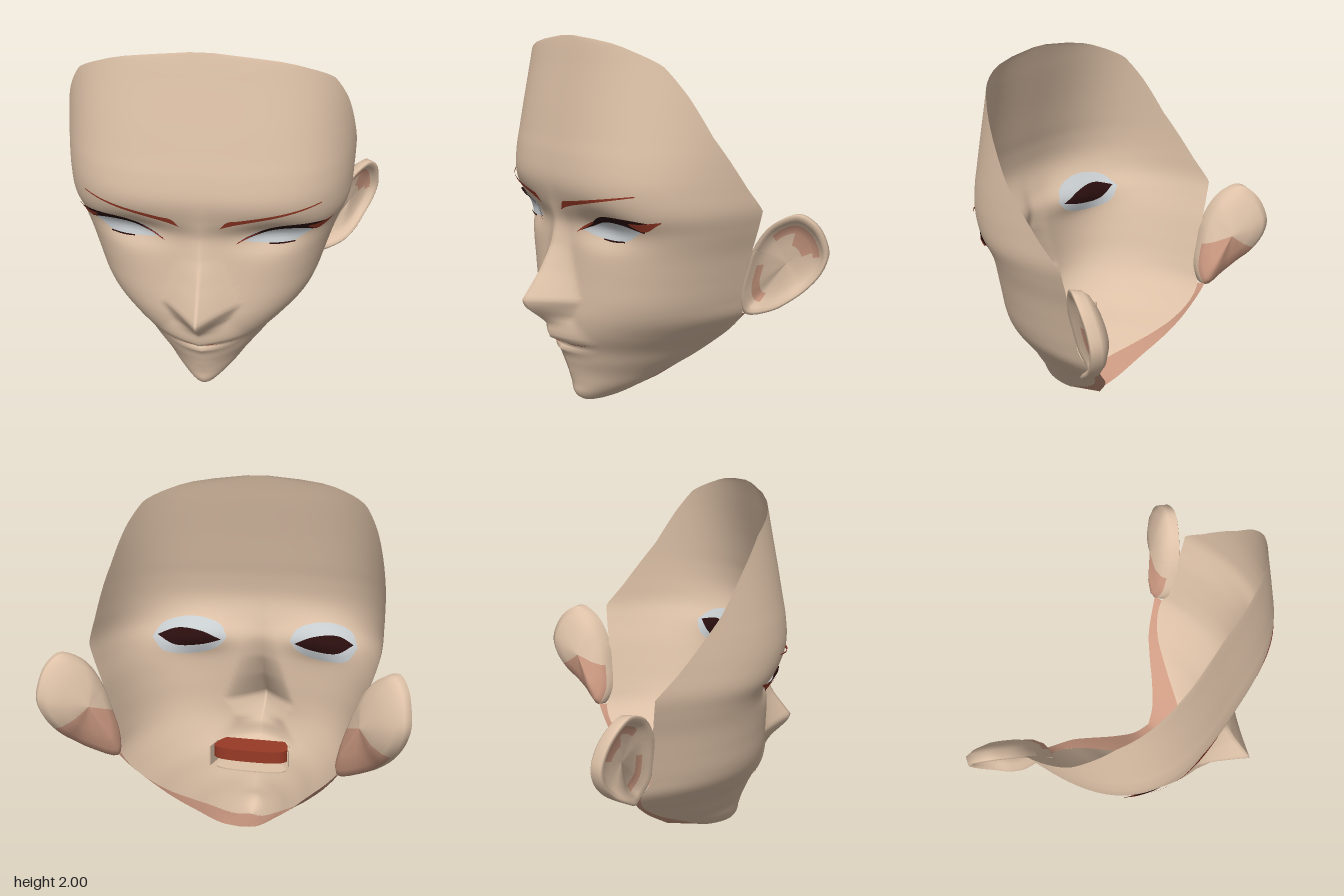
import * as THREE from 'three';

const mat = (name, color) => new THREE.MeshStandardMaterial({ name, color, side: THREE.DoubleSide });
const skin = mat('skin', 0xdec2a8);
const blush = mat('shaded skin', 0xcd9a82);
const red = mat('red brown', 0x983a26);
const dark = mat('dark lash', 0x2a0e0e);
const white = mat('eye white', 0xcacfd2);

// Head sections: height, half width, front z, back z, roundness
const sections = [
  [0, .01, .23, .22, 2], [.02, .06, .285, .16, 2], [.06, .125, .325, .1, 1.8], [.12, .2, .335, .03, 1.8],
  [.2, .28, .345, -.08, 1.9], [.28, .36, .37, -.185, 2], [.36, .43, .39, -.27, 2.1], [.46, .52, .425, -.335, 2.25],
  [.56, .595, .435, -.35, 2.4], [.65, .625, .43, -.31, 2.55], [.8, .665, .42, -.31, 2.7],
  [.93, .7, .415, -.31, 2.8], [1.05, .74, .42, -.31, 2.9], [1.15, .768, .455, -.31, 3],
  [1.27, .775, .485, -.315, 3], [1.4, .777, .475, -.325, 3], [1.5, .777, .455, -.345, 3],
  [1.65, .775, .425, -.375, 3], [1.72, .775, .41, -.39, 3], [1.86, .775, .38, -.42, 3],
  [1.925, .775, .367, -.433, 3], [1.98, .775, .355, -.445, 3], [2, .775, .35, -.45, 3]];
// Nose and lips: height, bulge, half width
const bulges = [
  [0, 0, .1], [.12, 0, .12], [.2, .015, .15], [.3, .015, .18], [.35, .04, .22], [.38, 0, .22], [.4, .045, .25],
  [.42, .07, .25], [.5, .065, .18], [.54, .105, .14], [.61, .19, .18], [.65, .215, .21], [.8, .115, .16],
  [.93, .05, .12], [1.05, .02, .1], [1.15, .005, .08], [1.25, 0, .08], [2, 0, .08]];
// Cut edge of the forehead: height, z
const rim = [[0, -1], [1.14, -1], [1.15, -.31], [1.27, -.2], [1.53, .005], [1.72, .115], [1.86, .205],
  [1.925, .289], [1.98, .346], [2, .3499]];

const table = (rows, Type) => {
  const size = rows[0].length - 1;
  const it = new Type(rows.map(r => r[0]), rows.flatMap(r => r.slice(1)), size, new Float32Array(size));
  return y => Array.from(it.evaluate(y));
};
const sectionAt = table(sections, THREE.CubicInterpolant);
const bulgeAt = table(bulges, THREE.LinearInterpolant);
const rimAt = table(rim, THREE.LinearInterpolant);

// Nose and lips added, eye sockets taken away
function relief(x, y) {
  const [b, w] = bulgeAt(y), ax = Math.abs(x);
  const socket = .055 * Math.exp(-(((ax - .36) / .18) ** 2) - ((y - 1.06) / .09) ** 2);
  return b * Math.pow(Math.max(0, 1 - ax / w), 1.25) - socket;
}

// Depth of the face surface at any x, y
function faceZ(x, y) {
  const [A, zF, zB, n] = sectionAt(y);
  const f = Math.pow(Math.max(0, 1 - Math.pow(Math.min(1, Math.abs(x) / A), n)), 1 / n);
  return zB + (zF - zB) * f + relief(x, y);
}

// Smooth sheet from a rule over u, v; pick chooses the material of each quad
function sheet(name, nu, nv, point, materials, pick = () => 0) {
  const pos = [], lists = [[], []];
  for (let j = 0; j <= nv; j++) for (let i = 0; i <= nu; i++) pos.push(...point(i / nu, j / nv));
  for (let j = 0; j < nv; j++) for (let i = 0; i < nu; i++) {
    const a = j * (nu + 1) + i, b = a + nu + 1;
    lists[pick((i + .5) / nu, j)].push(a, a + 1, b + 1, a, b + 1, b);
  }
  const g = new THREE.BufferGeometry();
  g.setAttribute('position', new THREE.Float32BufferAttribute(pos, 3));
  g.setIndex([...lists[0], ...lists[1]]);
  g.addGroup(0, lists[0].length, 0);
  if (lists[1].length) g.addGroup(lists[0].length, lists[1].length, 1);
  g.computeVertexNormals();
  const m = new THREE.Mesh(g, materials);
  m.name = name;
  return m;
}

const curve = pts => new THREE.CatmullRomCurve3(pts.map(p => new THREE.Vector3(p[0], p[1], p[2] || 0)));

// Thin plate following the face between an upper and a lower line
function plate(name, top, bottom, offset, material, side) {
  const t = curve(top), b = curve(bottom);
  return sheet(name, 28, 5, (u, v) => {
    const p = t.getPoint(u).lerp(b.getPoint(u), v);
    return [side * p.x, p.y, faceZ(p.x, p.y) + offset];
  }, [material]);
}

// Cupped ear: rings of the outline (scale, push along the ear normal, shift to the head)
const earOutline = curve([[.71, .94, -.305], [.765, 1.05, -.345], [.82, 1.105, -.39], [.88, 1.13, -.45],
  [.925, 1.08, -.52], [.945, 1, -.57], [.95, .91, -.595], [.925, .82, -.58], [.875, .73, -.53], [.82, .66, -.46],
  [.75, .605, -.41], [.61, .56, -.36], [.615, .65, -.31], [.66, .8, -.3]]);
earOutline.closed = true;
const earCenter = new THREE.Vector3(.8, .86, -.445);
const earNormal = new THREE.Vector3(.54, -.02, .84);
const earRings = [[0, -.075, .06], [.55, -.075, .045], [.85, -.065, .02], [.98, -.05, 0], [1, 0, 0], [.94, .006, 0],
  [.86, -.005, 0], [.77, -.03, 0], [.6, -.04, 0], [.35, -.04, 0], [0, -.035, 0]];
function ear(side) {
  const last = earRings.length - 1;
  return sheet('ear', 56, last, (u, v) => {
    const [s, d, shift] = earRings[Math.round(v * last)];
    const p = earOutline.getPoint(u % 1).sub(earCenter).multiplyScalar(s).add(earCenter).addScaledVector(earNormal, d);
    return [side * (p.x - shift), p.y, p.z];
  }, [skin, blush], (u, j) => {
    if (j < 3) return u > .55 && u < .92 ? 1 : 0;
    return (j === 7 && u > .08 && u < .43) || (j === 8 && u > .22 && u < .4) || (j === 7 && u > .76 && u < .94) ? 1 : 0;
  });
}

export function createModel() {
  const model = new THREE.Group();

  // Face shell with an open back
  model.add(sheet('face', 80, 110, (u, v) => {
    const y = 2 * v, [A, zF, zB, n] = sectionAt(y), s = u * 2 - 1;
    const cut = Math.max(0, (rimAt(y)[0] - zB) / (zF - zB));
    const t = Math.acos(Math.pow(cut, n / 2)) * Math.pow(Math.abs(s), 1.5);
    const x = Math.sign(s) * A * Math.pow(Math.sin(t), 2 / n);
    return [x, y, zB + (zF - zB) * Math.pow(Math.max(0, Math.cos(t)), 2 / n) + relief(x, y)];
  }, [skin]));

  // Underside of the jaw
  const neck = curve([[0, .05, -.065], [.1, .08, -.1], [.22, .18, -.18], [.33, .29, -.27], [.42, .39, -.335],
    [.53, .5, -.38], [.59, .57, -.4]]);
  model.add(sheet('jawUnderside', 60, 4, (u, v) => {
    const s = Math.abs(u * 2 - 1), sign = u < .5 ? -1 : 1, y = .56 * s;
    const [A, , zB] = sectionAt(y);
    const p = new THREE.Vector3(s ? A : 0, y, zB).lerp(neck.getPoint(s), v);
    return [sign * p.x, p.y, p.z];
  }, [blush]));

  for (const side of [-1, 1]) {
    model.add(ear(side));

    // Eye front, upper lash with red outer wing, lower lash
    model.add(plate('eyeWhite', [[.2, 1.04], [.28, 1.085], [.4, 1.12], [.5, 1.12], [.58, 1.085]],
      [[.2, 1.04], [.28, 1.02], [.37, 1.01], [.47, 1.012], [.58, 1.085]], .008, white, side));
    model.add(plate('upperLash', [[.185, 1.027], [.275, 1.08], [.39, 1.135], [.54, 1.139], [.63, 1.125]],
      [[.185, 1.027], [.28, 1.066], [.39, 1.105], [.5, 1.105], [.585, 1.072]], .016, dark, side));
    model.add(plate('lashWing', [[.545, 1.122], [.59, 1.122], [.665, 1.135]],
      [[.545, 1.108], [.59, 1.08], [.665, 1.13]], .021, red, side));
    model.add(plate('lashInnerCorner', [[.185, 1.027], [.23, 1.06], [.3, 1.095]],
      [[.185, 1.024], [.23, 1.048], [.3, 1.085]], .021, red, side));
    model.add(plate('lowerLash', [[.35, 1.014], [.41, 1.012], [.48, 1.017]],
      [[.35, 1.008], [.41, 1.004], [.48, 1.01]], .016, dark, side));

    // Inside of the eye
    model.add(plate('eyeInnerWhite', [[.19, 1.05], [.23, 1.12], [.4, 1.17], [.56, 1.14], [.605, 1.07]],
      [[.19, 1.05], [.25, .99], [.4, .955], [.54, .98], [.605, 1.07]], -.014, white, side));
    model.add(plate('eyeInnerDark', [[.22, 1.04], [.33, 1.09], [.48, 1.11], [.58, 1.08]],
      [[.22, 1.04], [.33, 1.015], [.48, 1.015], [.58, 1.08]], -.022, dark, side));

    model.add(plate('eyebrow', [[.105, 1.135], [.14, 1.178], [.2, 1.19], [.35, 1.217], [.6, 1.262]],
      [[.1, 1.13], [.15, 1.15], [.2, 1.165], [.35, 1.2], [.6, 1.256]], .014, red, side));
    model.add(plate('mouthLine', [[0, .395], [.1, .395], [.185, .398]],
      [[0, .39], [.1, .39], [.185, .395]], .008, red, side));
  }

  // Mouth cavity behind the lips
  const slab = (name, w, y, h, front, back, material) => {
    const s = new THREE.Shape();
    s.moveTo(-w, -front);
    s.bezierCurveTo(-w * 1.5, -back - .03, -w * 1.2, -back, 0, -back);
    s.bezierCurveTo(w * 1.2, -back, w * 1.5, -back - .03, w, -front);
    s.closePath();
    const g = new THREE.ExtrudeGeometry(s, { depth: h, bevelEnabled: false, curveSegments: 12 });
    g.rotateX(-Math.PI / 2);
    const m = new THREE.Mesh(g, material);
    m.name = name;
    m.position.y = y;
    model.add(m);
  };
  slab('mouthInterior', .18, .37, .07, .325, .13, red);
  slab('mouthFloor', .17, .3, .008, .29, .15, skin);
  for (const side of [-1, 1]) {
    const wall = new THREE.Mesh(new THREE.BoxGeometry(.008, .12, .12), skin);
    wall.name = 'mouthWall';
    wall.position.set(side * .225, .385, .2);
    wall.rotation.y = side * -.15;
    model.add(wall);
  }
  return model;
}
